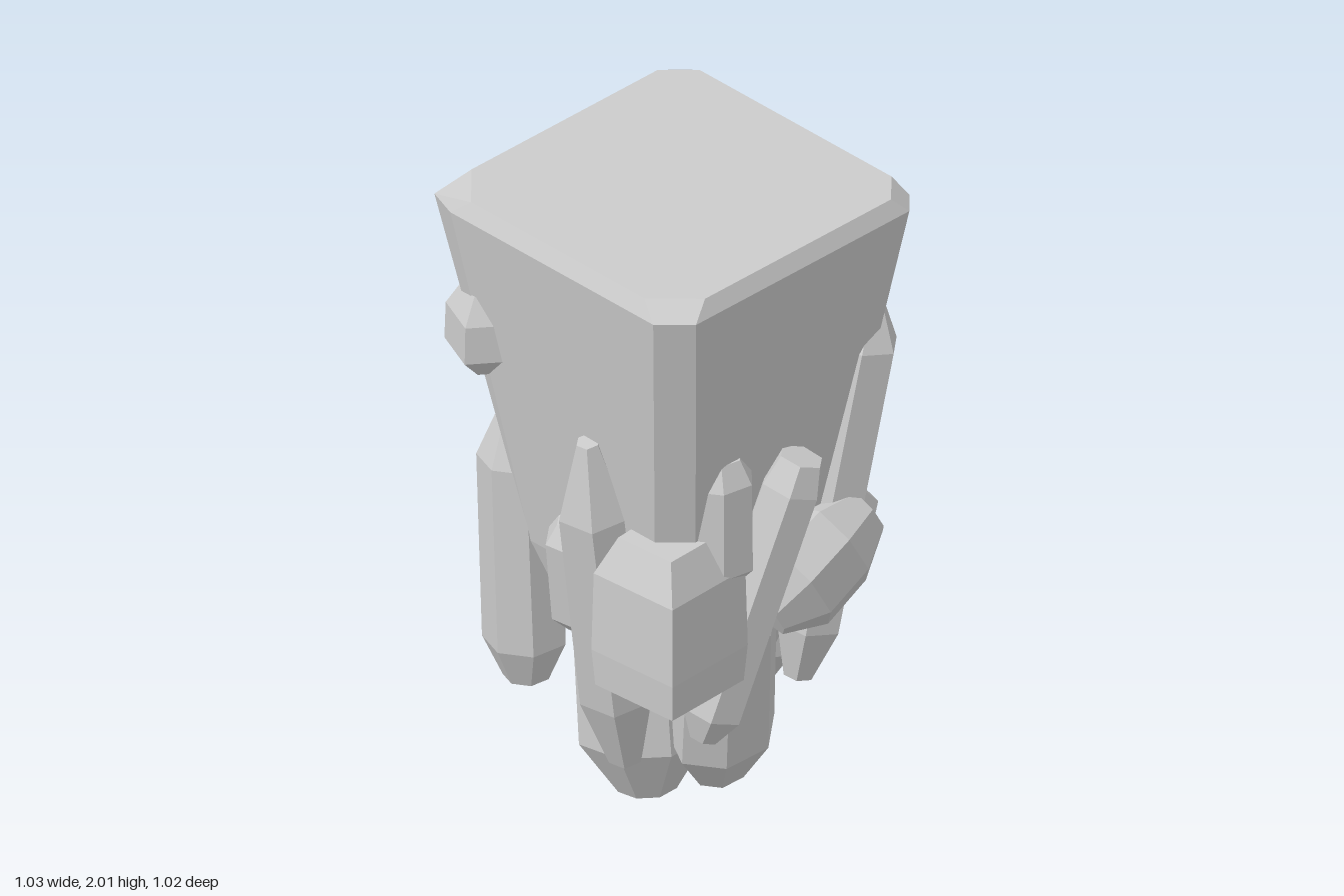
import * as THREE from 'three';
import { ConvexGeometry } from 'three/addons/geometries/ConvexGeometry.js';

const stone = new THREE.MeshStandardMaterial({ color: 0xcccccc, flatShading: true });
const V = (x, y, z) => new THREE.Vector3(x, y, z);

// Small seeded generator for chipped, uneven edges
let seed = 4217;
function rand() {
  seed = (seed * 16807) % 2147483647;
  return seed / 2147483647;
}

function hull(name, points) {
  const mesh = new THREE.Mesh(new ConvexGeometry(points), stone);
  mesh.name = name;
  return mesh;
}

// Faceted stone between two ends: full width in the middle, narrowing to foot and crown
function rock(name, from, to, radius, { foot = 0.45, crown = 0.5, bevel = 0.15, sides = 6, flat = 1, turn = 0.35 } = {}) {
  const start = V(...from), axis = V(...to).sub(start), length = axis.length();
  const uneven = Array.from({ length: sides }, () => 0.95 + rand() * 0.1);
  const points = [];
  for (const [t, scale] of [[0, foot], [bevel, 1], [1 - bevel, 0.97], [1, crown]]) {
    uneven.forEach((chip, i) => {
      const angle = turn + (i / sides) * Math.PI * 2, r = radius * scale * chip;
      points.push(V(Math.cos(angle) * r, t * length, Math.sin(angle) * r * flat));
    });
  }
  const mesh = hull(name, points);
  mesh.position.copy(start);
  mesh.quaternion.setFromUnitVectors(V(0, 1, 0), axis.normalize());
  return mesh;
}

// Upright stone given by its middle and height
function boulder(name, [x, y, z], height, radius, options) {
  return rock(name, [x, y - height / 2, z], [x, y + height / 2, z], radius, { bevel: 0.28, ...options });
}

// Tapered pillar with cut corners, the left ones wider, and a worn upper rim
function pillar() {
  const points = [];
  for (const [y, half, cut] of [[2, 0.468, 0.12], [1.95, 0.492, 0.085], [0.85, 0.33, 0.08], [0.5, 0.23, 0.1]]) {
    for (const sx of [-1, 1]) {
      const c = sx < 0 ? cut : cut * 0.7;
      for (const sz of [-1, 1]) {
        points.push(V(sx * (half - c) - 0.022, y, sz * half - 0.02), V(sx * half - 0.022, y, sz * (half - c) - 0.02));
      }
    }
  }
  // Flared back corners of the rim
  points.push(V(0.39, 1.97, -0.518), V(0.455, 1.97, -0.465), V(-0.5, 1.97, -0.505));
  return hull('pillar', points);
}

export function createModel() {
  const group = new THREE.Group();
  group.name = 'rockPillar';
  group.add(pillar());

  // Hanging roots under the pillar
  group.add(
    rock('rootCore', [-0.08, 0, -0.08], [-0.09, 0.85, -0.14], 0.195, { foot: 0.45, bevel: 0.22, sides: 8 }),
    rock('rootFront', [0.02, 0.09, 0.11], [-0.08, 0.82, 0.24], 0.17, { foot: 0.5, bevel: 0.2, sides: 7, flat: 0.82 }),
    rock('rootRight', [0.21, 0.24, -0.12], [0.24, 0.95, -0.15], 0.12, { foot: 0.6, bevel: 0.2 }),
    rock('rootMiddle', [0.19, 0.33, 0.07], [0.22, 0.85, 0.1], 0.12, { foot: 0.55, bevel: 0.2 }),
  );

  // Long shards leaning on the sides
  group.add(
    rock('shardLeft', [-0.26, 0.22, 0.02], [-0.44, 1.37, 0.05], 0.115, { bevel: 0.21, crown: 0.3 }),
    rock('shardFront', [-0.22, 0.39, 0.29], [0.03, 1.28, 0.43], 0.095, { bevel: 0.1, crown: 0.7 }),
    rock('shardFrontRight', [0.19, 0.4, 0.25], [0.38, 1.67, 0.37], 0.1, { bevel: 0.14, crown: 0.08 }),
    rock('shardBackRight', [0.3, 0.53, -0.37], [0.3, 1.48, -0.39], 0.125, { bevel: 0.12, crown: 0.4, foot: 0.6 }),
    rock('shardBackLeft', [-0.28, 0.33, -0.36], [-0.3, 1.2, -0.38], 0.125, { sides: 7, foot: 0.55 }),
    rock('shardSmallLeft', [-0.33, 0.64, -0.09], [-0.38, 1.02, -0.08], 0.085),
  );

  // Boulders and chips set into the faces
  group.add(
    boulder('blockFrontLeft', [-0.34, 0.865, 0.27], 0.49, 0.22, { foot: 0.95, crown: 0.65, bevel: 0.24, sides: 4, turn: 0.72 }),
    boulder('chipFront', [-0.2, 1.13, 0.32], 0.43, 0.11, { sides: 7, bevel: 0.17, crown: 0.65 }),
    boulder('knobRight', [0.33, 0.99, -0.17], 0.28, 0.115, { crown: 0.7, sides: 5 }),
    boulder('knobBackLeft', [-0.4, 1.54, -0.39], 0.27, 0.13, { crown: 0.6, sides: 5 }),
    rock('boulderBack', [0.06, 0.63, -0.33], [-0.03, 1.02, -0.35], 0.17, { bevel: 0.25, flat: 0.83, crown: 0.6 }),
    rock('boulderFront', [-0.03, 0.74, 0.36], [0.33, 0.94, 0.38], 0.175, { bevel: 0.3, sides: 7, flat: 0.67, crown: 0.55 }),
    rock('chipRight', [0.4, 1.36, 0.075], [0.44, 1.8, 0.03], 0.06, { bevel: 0.22, flat: 1.5, foot: 0.4, crown: 0.6 }),
    rock('slabRight', [0.35, 0.9, 0.34], [0.28, 0.74, -0.41], 0.175, { bevel: 0.24, flat: 0.75, turn: 0, crown: 0.65 }),
  );
  return group;
}
